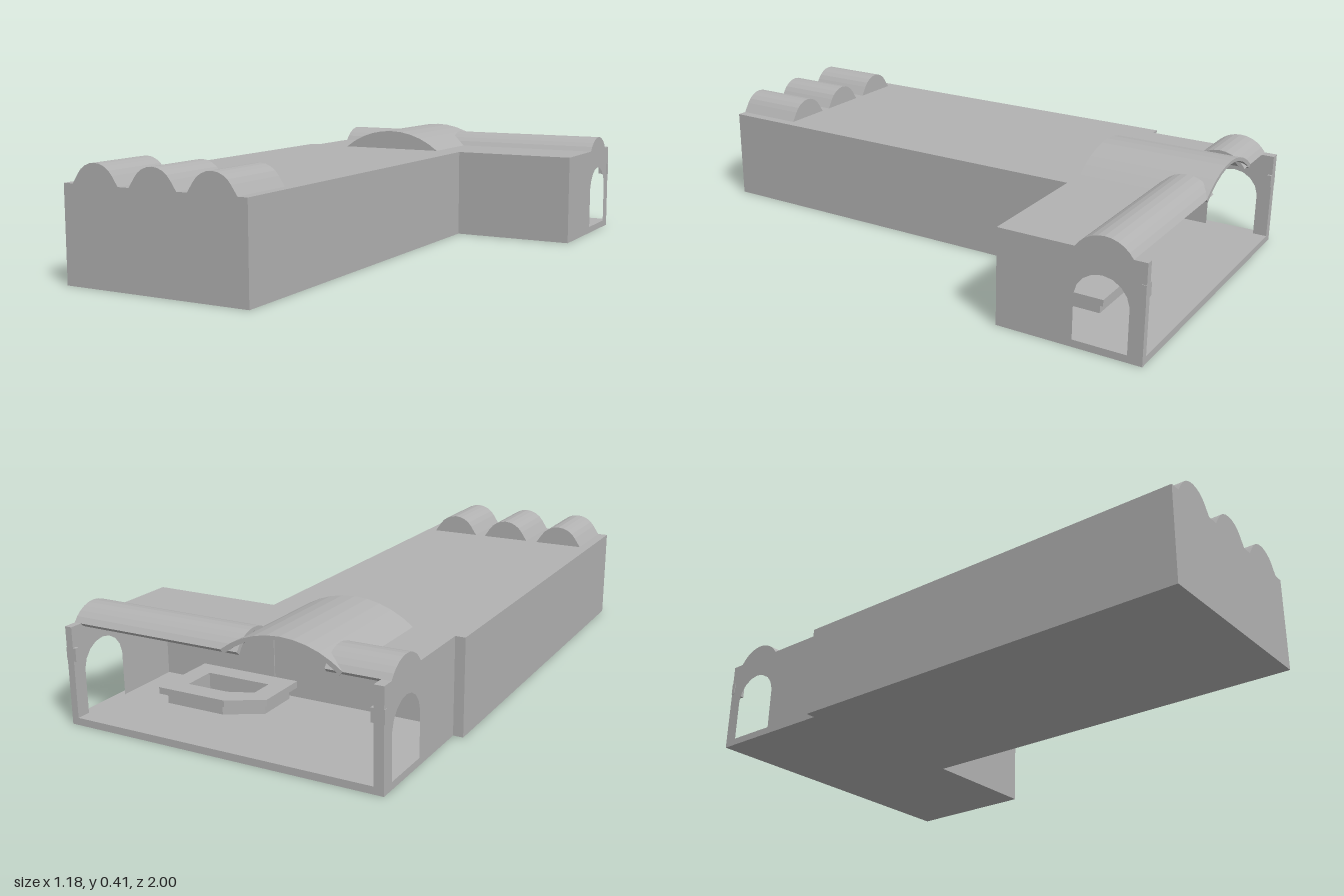
import * as THREE from 'three';

const grey = new THREE.MeshStandardMaterial({ color: 0xb2b2b2 });
grey.name = 'grey';

const H = 0.335; // flat roof level

export function createModel() {
  const model = new THREE.Group();

  const add = (name, geometry) => {
    const flat = geometry.index ? geometry.toNonIndexed() : geometry;
    flat.computeVertexNormals();
    const mesh = new THREE.Mesh(flat, grey);
    mesh.name = name;
    model.add(mesh);
    return mesh;
  };

  // box given by its limits on each axis
  const box = (name, x0, x1, y0, y1, z0, z1) =>
    add(name, new THREE.BoxGeometry(x1 - x0, y1 - y0, z1 - z0)
      .translate((x0 + x1) / 2, (y0 + y1) / 2, (z0 + z1) / 2));

  // points of a circular segment, from left foot to right foot
  const arc = (centre, half, base, rise, n = 10) => {
    const r = (half * half + rise * rise) / (2 * rise);
    const a = Math.atan2(half, r - rise);
    return Array.from({ length: n + 1 }, (_, i) => {
      const t = -a + (2 * a * i) / n;
      return new THREE.Vector2(centre + r * Math.sin(t), base + rise - r + r * Math.cos(t));
    });
  };

  // closed vault shell profile
  const shell = (centre, half, rise, thick) => new THREE.Shape([
    ...arc(centre, half, H, rise),
    ...arc(centre, half - thick, H - thick, rise).reverse(),
  ]);

  const extrude = (shape, depth) => new THREE.ExtrudeGeometry(shape, { depth, bevelEnabled: false });
  // profile in (z, y) running along x
  const alongX = (shape, x0, x1) => extrude(shape, x1 - x0).rotateY(-Math.PI / 2).translate(x1, 0, 0);
  // profile in (x, y) running along z
  const alongZ = (shape, z0, z1) => extrude(shape, z1 - z0).translate(0, 0, z0);
  // plan in (x, -z) raised along y
  const raised = (shape, y0, y1) => extrude(shape, y1 - y0).rotateX(-Math.PI / 2).translate(0, y0, 0);

  // long main hall
  box('mainHall', -0.59, 0.12, 0, H, -0.515, 1);

  // three barrel roofs at the front, each with flared feet
  [-0.46, -0.232, -0.008].forEach((x) => {
    const profile = new THREE.Shape([
      new THREE.Vector2(x - 0.092, H),
      ...arc(x, 0.07, 0.368, 0.038, 8),
      new THREE.Vector2(x + 0.092, H),
    ]);
    add('frontBarrelRoof', alongZ(profile, 0.745, 1));
  });

  // cross wing: floor, front wall and flat roof beside the large vault
  box('wingFloor', -0.555, 0.585, 0, 0.025, -1, -0.5);
  box('wingFrontWall', 0.11, 0.585, 0, H, -0.52, -0.497);
  box('wingRoof', 0.015, 0.585, H - 0.02, H, -0.77, -0.5);
  box('wingRoof', -0.555, -0.395, H - 0.02, H, -0.77, -0.51);

  // end walls with an arched doorway and a rounded head
  const wall = new THREE.Shape([
    new THREE.Vector2(-1, 0),
    new THREE.Vector2(-1, H),
    ...arc(-0.86, 0.095, H, 0.052),
    new THREE.Vector2(-0.5, H),
    new THREE.Vector2(-0.5, 0),
  ]);
  wall.holes.push(new THREE.Path([
    new THREE.Vector2(-0.95, 0.025),
    ...arc(-0.858, 0.092, 0.18, 0.082, 8),
    new THREE.Vector2(-0.766, 0.025),
  ]));
  add('leftEndWall', alongX(wall, 0.56, 0.585));
  add('rightEndWall', alongX(wall, -0.555, -0.522));
  [[0.55, 0.587], [-0.557, -0.512]].forEach(([x0, x1]) =>
    box('wallBracket', x0, x1, 0.22, 0.265, -1, -0.985));

  // narrow vaults running along the wing on both sides of the large one
  const narrow = shell(-0.86, 0.095, 0.052, 0.012);
  add('narrowVault', alongX(narrow, -0.04, 0.56));
  add('narrowVault', alongX(narrow, -0.522, -0.34));

  // large shallow vault, open at the back and closed at the front
  add('largeVault', alongZ(shell(-0.19, 0.21, 0.073, 0.012), -0.955, -0.495));
  add('largeVaultEnd', alongZ(new THREE.Shape(arc(-0.19, 0.208, H - 0.004, 0.074)), -0.51, -0.495));

  // ring-shaped counter inside the wing, with an overhanging top
  const ring = (grow) => {
    const [x0, x1, z0, z1] = [0.04 - grow, 0.38 + grow, -0.76 - grow, -0.54 + grow];
    const plan = (d) => [
      [x0 + d, -z1 + d], [x1 - d, -z1 + d], [x1 - d, -z0 - d],
      [x0 + 0.12 + d * 0.5, -z0 - d], [x0 + d, -z0 - 0.07 - d * 0.5],
    ].map(([x, y]) => new THREE.Vector2(x, y));
    const shape = new THREE.Shape(plan(0));
    shape.holes.push(new THREE.Path(plan(0.05 + grow)));
    return shape;
  };
  add('counterBase', raised(ring(0), 0.025, 0.062));
  add('counterTop', raised(ring(0.02), 0.062, 0.085));

  return model;
}
